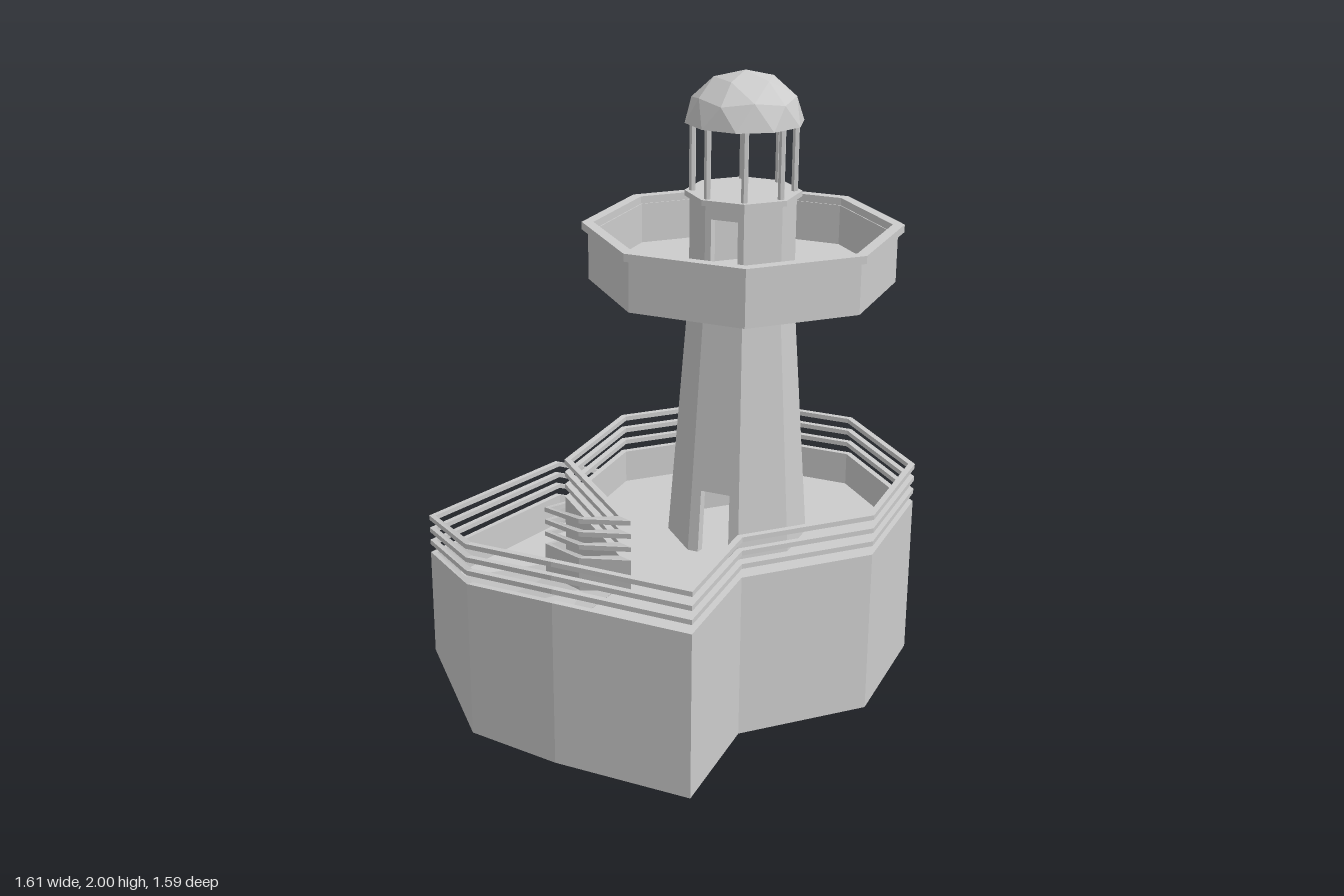
import * as THREE from 'three';

const CX = 0.215, CZ = 0.2;          // tower axis
const DECK = 0.435, PARAPET = 0.115; // deck height, wall height above the floor
const mat = new THREE.MeshStandardMaterial({ color: 0xcccccc, flatShading: true });
const matDouble = new THREE.MeshStandardMaterial({ color: 0xcccccc, flatShading: true, side: THREE.DoubleSide });

// Outline of the base as [x, z, floor level], from the ramp's inner end round to its outer end
const outline = [
  [0.44, -0.34, 0], [0.22, -0.44, 0.115], [-0.24, -0.24, 0.26], [-0.42, 0.14, 0.41],
  [-0.37, 0.25, DECK], [-0.2, -0.21, DECK], [0.215, -0.38, DECK], [0.63, -0.21, DECK],
  [0.8, 0.2, DECK], [0.63, 0.62, DECK], [0.215, 0.79, DECK], [-0.2, 0.62, DECK],
  [-0.56, 0.77, DECK], [-0.73, 0.35, DECK], [-0.81, 0.04, 0.41], [-0.58, -0.47, 0.26],
  [0.25, -0.8, 0.115], [0.54, -0.72, 0],
];

function octagon(r) {
  return Array.from({ length: 8 }, (_, k) => {
    const a = k * Math.PI / 4;
    return [CX + r * Math.cos(a), CZ + r * Math.sin(a), 0];
  });
}

function trianglesToGeometry(tris) {
  const g = new THREE.BufferGeometry();
  g.setAttribute('position', new THREE.Float32BufferAttribute(tris.flat(), 3));
  g.computeVertexNormals();
  return g;
}

const quad = (out, a, b, c, d) => out.push(a, b, c, a, c, d);

// Mitred wall or rail along a path; door = { edge, width, top } cuts an opening
function strip(path, { t, lo, hi, closed = false, door = null }) {
  const n = path.length;
  const normal = (a, b) => {
    const dx = b[0] - a[0], dz = b[1] - a[1], l = Math.hypot(dx, dz);
    return [-dz / l, dx / l];
  };
  const rings = path.map((p, i) => {
    const hasPrev = closed || i > 0, hasNext = closed || i < n - 1;
    let n1 = hasPrev ? normal(path[(i + n - 1) % n], p) : null;
    let n2 = hasNext ? normal(p, path[(i + 1) % n]) : n1;
    n1 = n1 || n2;
    const k = t / (1 + n1[0] * n2[0] + n1[1] * n2[1]);
    return { ox: p[0], oz: p[1], ix: p[0] + k * (n1[0] + n2[0]), iz: p[1] + k * (n1[1] + n2[1]), lo: lo(p), hi: hi(p) };
  });
  if (closed) rings.push({ ...rings[0] });
  if (door) {
    const A = rings[door.edge], B = rings[door.edge + 1];
    const half = door.width / Math.hypot(B.ox - A.ox, B.oz - A.oz) / 2;
    const at = (s, low) => {
      const r = {};
      for (const key of Object.keys(A)) r[key] = A[key] + (B[key] - A[key]) * s;
      if (low !== undefined) r.lo = low;
      return r;
    };
    rings.splice(door.edge + 1, 0, at(0.5 - half), at(0.5 - half, door.top), at(0.5 + half, door.top), at(0.5 + half));
  }
  const corners = rings.map(r => [[r.ox, r.lo, r.oz], [r.ox, r.hi, r.oz], [r.ix, r.hi, r.iz], [r.ix, r.lo, r.iz]]);
  const tris = [];
  for (let i = 0; i < corners.length - 1; i++) {
    const A = corners[i], B = corners[i + 1];
    const jamb = rings[i].ox === rings[i + 1].ox && rings[i].oz === rings[i + 1].oz;
    for (let j = jamb ? 3 : 0; j < 4; j++) quad(tris, A[j], A[(j + 1) % 4], B[(j + 1) % 4], B[j]);
  }
  if (!closed) {
    const A = corners[0], B = corners[corners.length - 1];
    quad(tris, A[3], A[2], A[1], A[0]);
    quad(tris, B[0], B[1], B[2], B[3]);
  }
  return trianglesToGeometry(tris);
}

// Flat polygon lying at height y
function plate(points, y) {
  const g = new THREE.ShapeGeometry(new THREE.Shape(points.map(p => new THREE.Vector2(p[0], p[1]))));
  return g.rotateX(Math.PI / 2).translate(0, y, 0);
}

// Eight-sided solid on the tower axis
function drum(rTop, rBottom, y0, y1) {
  return new THREE.CylinderGeometry(rTop, rBottom, y1 - y0, 8).translate(CX, (y0 + y1) / 2, CZ);
}

export function createModel() {
  const model = new THREE.Group();
  model.name = 'lighthouse';
  const add = (name, geometry, material = mat, parent = model) => {
    const m = new THREE.Mesh(geometry, material);
    m.name = name;
    parent.add(m);
    return m;
  };

  // Base: walls with a doorway, deck, sloping ramp and underside
  add('baseWall', strip(outline, {
    t: 0.02, lo: () => 0, hi: p => p[2] + PARAPET, door: { edge: 7, width: 0.15, top: 0.3 },
  }));
  add('deck', plate(outline.slice(4, 14), DECK), matDouble);
  add('baseUnderside', plate(outline, 0), matDouble);
  const ramp = [];
  const at = i => [outline[i][0], outline[i][2] + 0.001, outline[i][1]];
  for (let i = 13; i < 17; i++) quad(ramp, at(i), at(17 - i), at(16 - i), at(i + 1));
  add('ramp', trianglesToGeometry(ramp), matDouble);

  // Three rails floating above the parapet
  const rails = new THREE.Group();
  rails.name = 'rails';
  model.add(rails);
  for (const h of [0.03, 0.075, 0.12]) {
    const y = PARAPET + h;
    add('rail', strip(outline, { t: 0.02, lo: p => p[2] + y, hi: p => p[2] + y + 0.016 }), mat, rails);
  }

  // Tapered hollow tower with a doorway onto the deck
  const tower = strip(octagon(1), {
    t: 0.1, lo: () => DECK, hi: () => 1.29, closed: true, door: { edge: 3, width: 0.46, top: 0.65 },
  });
  const pos = tower.attributes.position;
  for (let i = 0; i < pos.count; i++) {
    const r = 0.225 - (pos.getY(i) - 0.55) * 0.0743;
    pos.setX(i, CX + (pos.getX(i) - CX) * r);
    pos.setZ(i, CZ + (pos.getZ(i) - CZ) * r);
  }
  tower.computeVertexNormals();
  add('tower', tower);
  add('lowerCollar', drum(0.19, 0.19, 1.29, 1.305));
  add('upperCollar', drum(0.207, 0.207, 1.305, 1.322));

  // Gallery: floor, wall and overhanging rim
  add('galleryFloor', drum(0.485, 0.485, 1.321, 1.35));
  add('galleryWall', strip(octagon(0.495), { t: 0.02, lo: () => 1.32, hi: () => 1.485, closed: true }));
  add('galleryRim', strip(octagon(0.515), { t: 0.035, lo: () => 1.485, hi: () => 1.51, closed: true }));

  // Lantern room with doorway, sill and posts
  add('lanternRoom', strip(octagon(0.17), {
    t: 0.02, lo: () => 1.35, hi: () => 1.602, closed: true, door: { edge: 3, width: 0.09, top: 1.555 },
  }));
  add('lanternSill', drum(0.187, 0.187, 1.6, 1.618));
  const posts = new THREE.Group();
  posts.name = 'lanternPosts';
  model.add(posts);
  for (const [x, z] of octagon(0.162)) {
    add('lanternPost', new THREE.CylinderGeometry(0.011, 0.011, 0.23, 6).translate(x, 1.73, z), mat, posts);
  }

  // Faceted dome: the upper half of an icosphere standing on a vertex
  const ico = new THREE.IcosahedronGeometry(1, 1).rotateX(-Math.atan((1 + Math.sqrt(5)) / 2));
  const p = ico.attributes.position, dome = [];
  for (let i = 0; i < p.count; i += 3) {
    const tri = [0, 1, 2].map(k => [p.getX(i + k), p.getY(i + k), p.getZ(i + k)]);
    if (tri.every(v => v[1] > -0.01)) dome.push(...tri);
  }
  add('dome', trianglesToGeometry(dome).scale(0.19, 0.162, 0.19).translate(CX, 1.838, CZ), matDouble);
  add('domeUnderside', new THREE.CircleGeometry(0.185, 10).rotateX(Math.PI / 2).translate(CX, 1.839, CZ), matDouble);

  return model;
}
